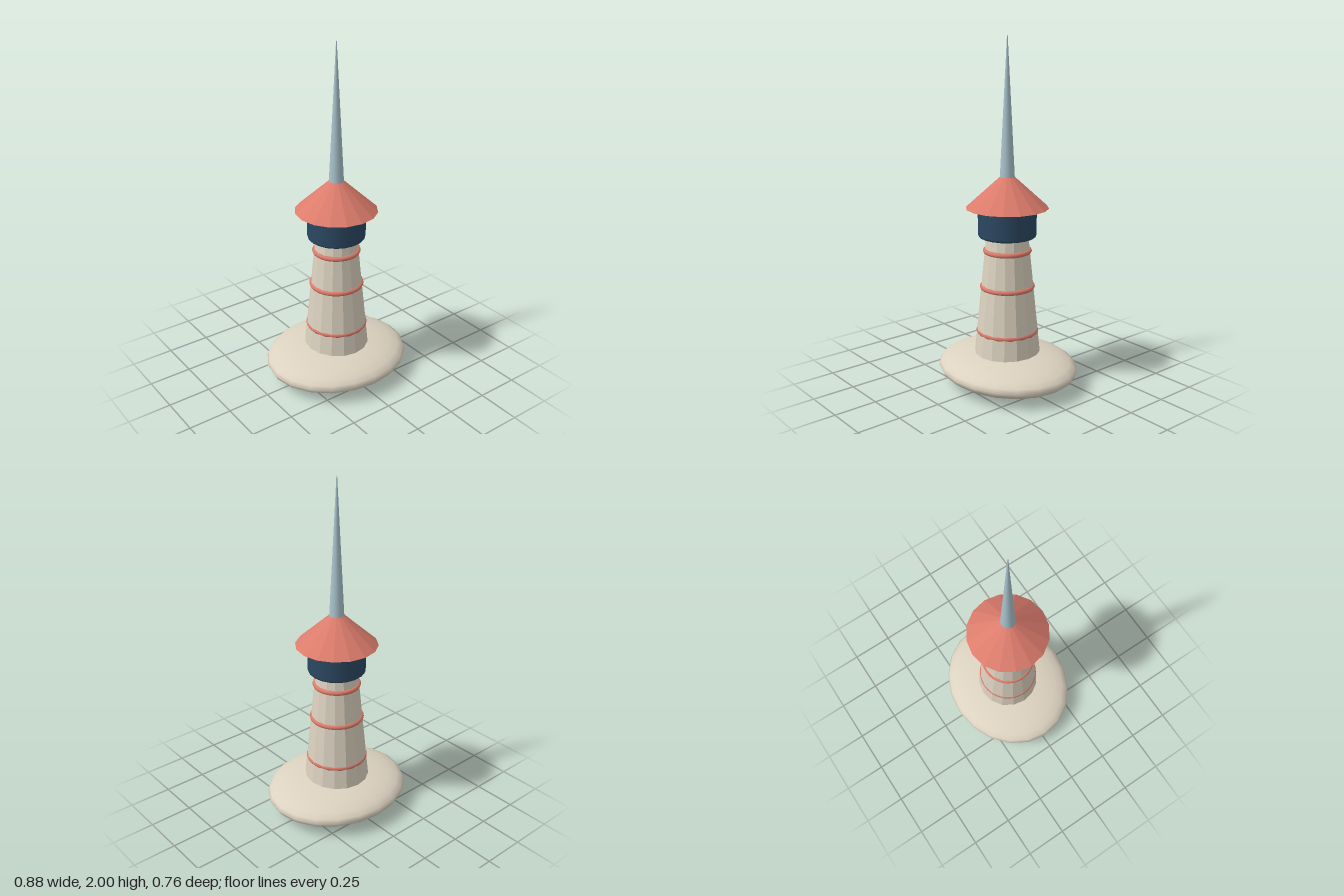
import * as THREE from 'three';

export function createModel() {
  const model = new THREE.Group();
  const paint = (name, color, flatShading = false) => {
    const m = new THREE.MeshStandardMaterial({ color, flatShading });
    m.name = name;
    return m;
  };
  const stone = paint('cream stone', 0xdcd2c0);
  const stoneFlat = paint('cream stone faceted', 0xdcd2c0, true);
  const coral = paint('coral', 0xdc7c6c);
  const coralFlat = paint('coral faceted', 0xdc7c6c, true);
  const navy = paint('navy', 0x2c4862);
  const steel = paint('pale steel', 0xa9c3cc);

  const add = (name, geometry, material, y) => {
    const mesh = new THREE.Mesh(geometry, material);
    mesh.name = name;
    mesh.position.y = y;
    model.add(mesh);
    return mesh;
  };

  // Flattened oval mound
  const mound = new THREE.SphereGeometry(1, 20, 14);
  mound.scale(0.438, 0.103, 0.381);
  add('baseMound', mound, stone, 0.106);

  // Tapered faceted tower
  add('tower', new THREE.CylinderGeometry(0.119, 0.2, 0.8, 16), stoneFlat, 0.5);

  // Trim rings: height, ring radius, tube radius
  [[0.325, 0.165, 0.015], [0.59, 0.144, 0.015], [0.802, 0.125, 0.015]].forEach(([y, r, t], i) => {
    const ring = new THREE.TorusGeometry(r, t, 8, 32);
    ring.rotateX(Math.PI / 2);
    add('trimRing' + (i + 1), ring, coral, y);
  });

  // Lantern room with a softened lower edge
  const rim = [[0.152, 0], [0.158, 0.002], [0.164, 0.007], [0.167, 0.016], [0.167, 0.17]];
  add('lanternRoom', new THREE.LatheGeometry(rim.map(p => new THREE.Vector2(...p)), 20), navy, 0.882);
  const floor = new THREE.CircleGeometry(0.152, 20);
  floor.rotateX(Math.PI / 2);
  add('lanternFloor', floor, navy, 0.882);

  // Faceted roof and spire
  add('roof', new THREE.CylinderGeometry(0.04, 0.236, 0.178, 16), coralFlat, 1.139);
  add('spire', new THREE.CylinderGeometry(0.002, 0.042, 0.775, 20), steel, 1.6125);

  return model;
}
